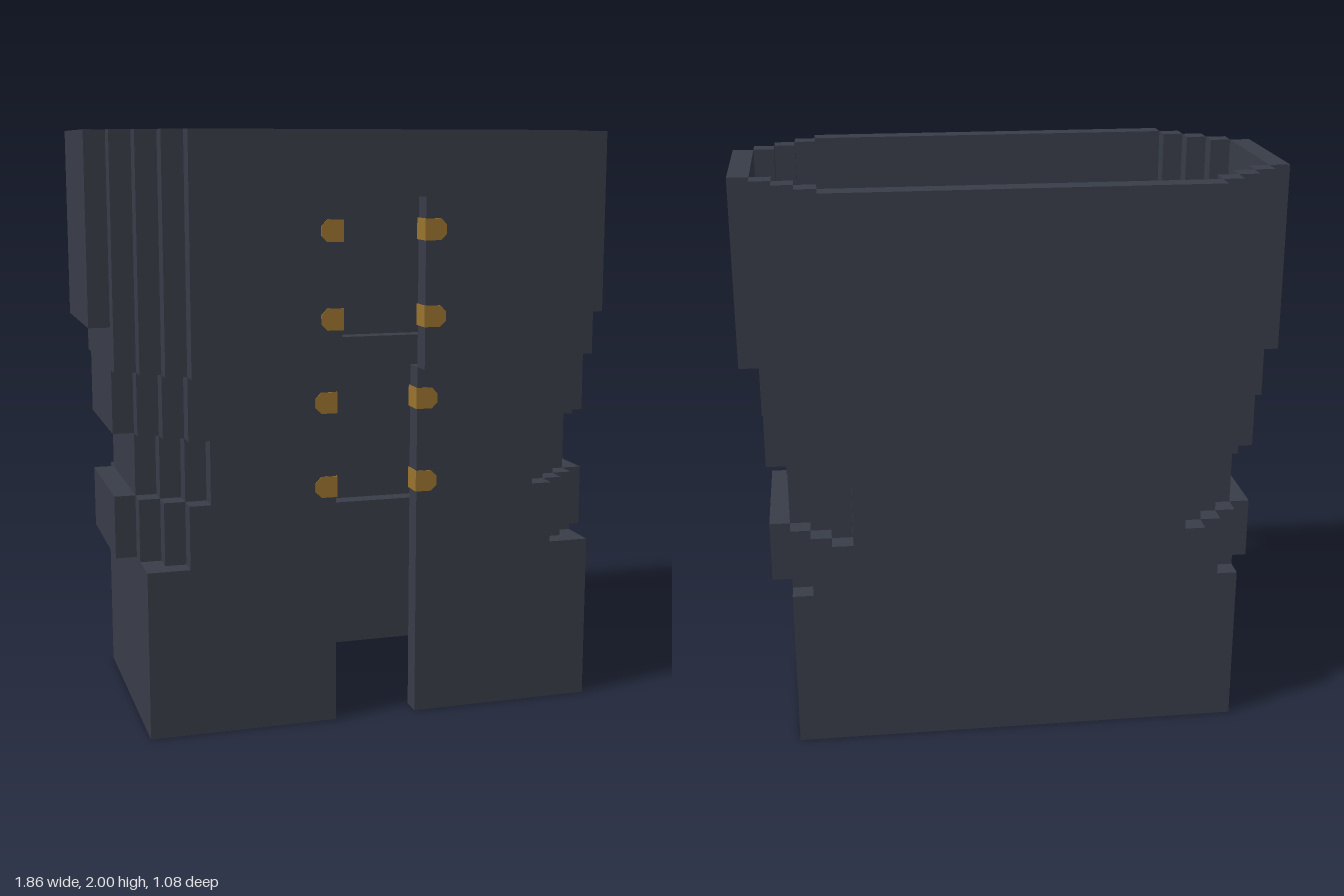
import * as THREE from 'three';

const U = 1 / 14; // one building block

const slate = new THREE.MeshStandardMaterial({ color: 0x393d48 });
slate.name = 'slate';
const amber = new THREE.MeshStandardMaterial({ color: 0x9c7430 });
amber.name = 'amber';

// Box given by its extents in blocks
function block(parent, name, [x0, x1], [y0, y1], [z0, z1]) {
  const geo = new THREE.BoxGeometry((x1 - x0) * U, (y1 - y0) * U, (z1 - z0) * U);
  const mesh = new THREE.Mesh(geo, slate);
  mesh.position.set((x0 + x1) / 2 * U, (y0 + y1) / 2 * U, (z0 + z1) / 2 * U);
  mesh.name = name;
  parent.add(mesh);
}

// Same box on both sides of x = 0
function pair(parent, name, [x0, x1], y, z) {
  block(parent, name + 'Left', [x0, x1], y, z);
  block(parent, name + 'Right', [-x1, -x0], y, z);
}

// Hollow tier with stepped corners; w = half width of the front, d = half depth
function tier(name, y, w, d, sideY) {
  const g = new THREE.Group();
  g.name = name;
  pair(g, 'frontPanel', [2, w], y, [d - 1, d]);
  block(g, 'backPanel', [-w, w], y, [-d, 1 - d]);
  const steps = d - 4.5;
  for (let i = 0; i < steps; i++) {
    const x = [w + i, w + i + 1];
    pair(g, 'frontCornerStep', x, y, [d - 2 - i, d - 1 - i]);
    pair(g, 'backCornerStep', x, y, [1 - d + i, 2 - d + i]);
  }
  pair(g, 'sidePanel', [w + steps, w + steps + 1], sideY ?? y, [-3.5, 3.5]);
  return g;
}

// Button set through the wall beside the opening, outer corners chamfered
function button(side, y, zFront) {
  const e = 0.004, c = 0.02, h = U / 2;
  const shape = new THREE.Shape();
  shape.moveTo(-h - e, -h);
  shape.lineTo(h - c, -h);
  shape.lineTo(h, -h + c);
  shape.lineTo(h, h - c);
  shape.lineTo(h - c, h);
  shape.lineTo(-h - e, h);
  const geo = new THREE.ExtrudeGeometry(shape, { depth: U + 2 * e, bevelEnabled: false });
  geo.translate(0, 0, -U - e);
  // half turn keeps the face order correct on the other side
  if (side < 0) geo.translate(0, 0, h).rotateY(Math.PI).translate(0, 0, -h);
  const mesh = new THREE.Mesh(geo, amber);
  mesh.position.set(side * 2.5 * U, y * U, zFront * U);
  mesh.name = 'button';
  return mesh;
}

export function createModel() {
  const model = new THREE.Group();
  model.name = 'coat';

  // Plain rectangular skirt
  const skirt = new THREE.Group();
  skirt.name = 'skirt';
  pair(skirt, 'side', [10, 11], [0, 8], [-5.5, 6.5]);
  pair(skirt, 'front', [2, 10], [0, 8], [5.5, 6.5]);
  block(skirt, 'back', [-10, 10], [0, 8], [-5.5, -4.5]);
  model.add(skirt);

  // Stepped tiers, with a narrower waist
  model.add(tier('hip', [8, 11], 9, 6.5));
  model.add(tier('waist', [11, 14], 8, 6.5));
  model.add(tier('midriff', [14, 17], 9, 6.5, [14, 19]));
  const chest = tier('chest', [17, 28], 9, 7.5, [19, 28]);
  block(chest, 'frontBridge', [-2, 2], [25, 28], [6.5, 7.5]);
  model.add(chest);

  // Two rows of buttons along the opening
  for (const y of [11.5, 15.5, 19.5, 23.5]) {
    for (const side of [-1, 1]) model.add(button(side, y, y > 17 ? 7.5 : 6.5));
  }
  return model;
}
